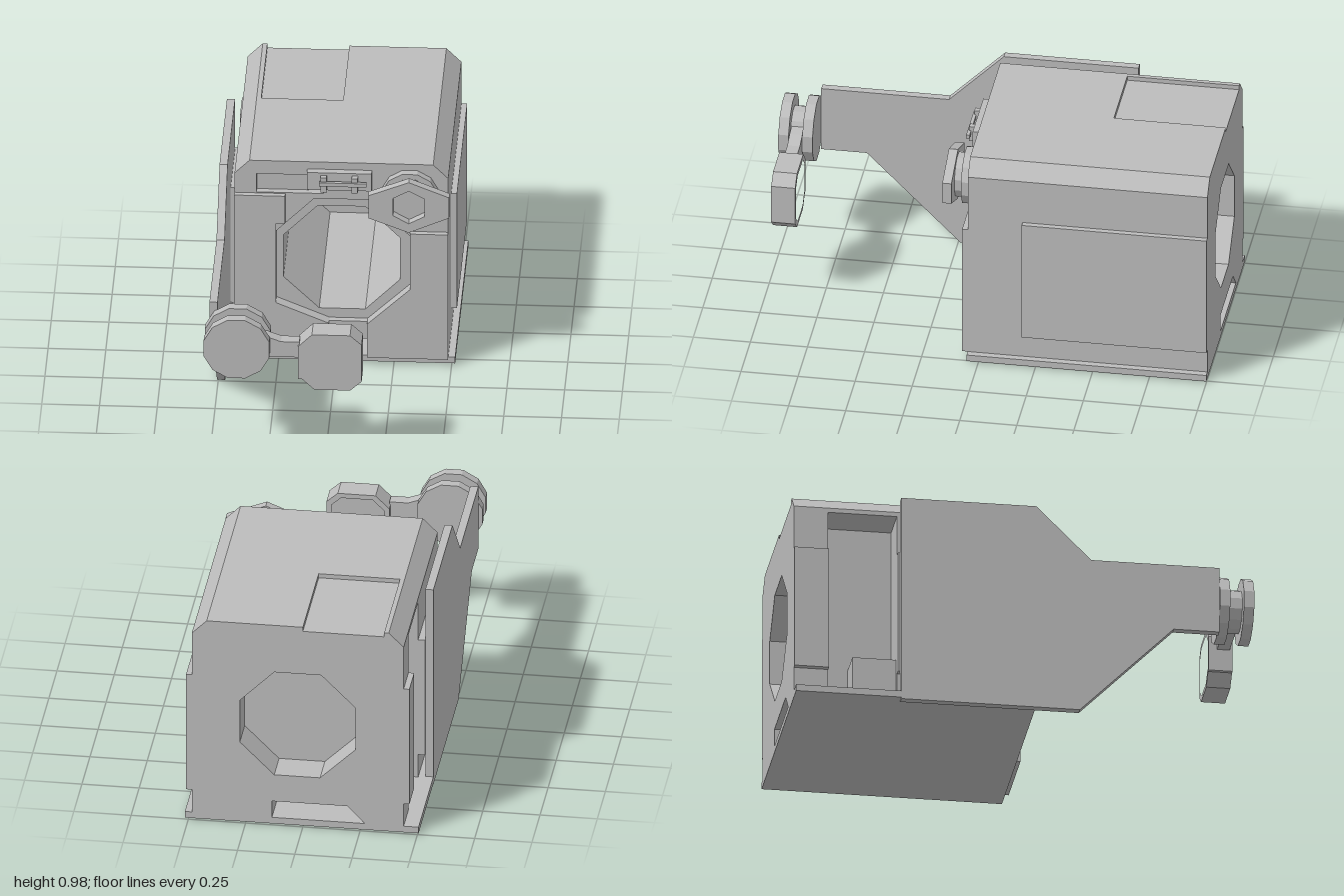
import * as THREE from 'three';

export function createModel() {
  const model = new THREE.Group();
  model.name = 'machineHousing';
  const grey = new THREE.MeshStandardMaterial({ color: 0xbcbcbc });
  grey.name = 'plain grey';

  const add = (name, geometry) => {
    const mesh = new THREE.Mesh(geometry, grey);
    mesh.name = name;
    model.add(mesh);
    return mesh;
  };
  const pts = (list) => list.map(([x, y]) => new THREE.Vector2(x, y));

  // Flat outline with holes, extruded from z0 to z1
  const slab = (name, outline, z0, z1, holes = []) => {
    const shape = new THREE.Shape(pts(outline));
    holes.forEach((h) => shape.holes.push(new THREE.Path(pts(h))));
    const g = new THREE.ExtrudeGeometry(shape, { depth: z1 - z0, bevelEnabled: false });
    return add(name, g.translate(0, 0, z0));
  };
  const box = (name, x0, x1, y0, y1, z0, z1) =>
    add(name, new THREE.BoxGeometry(x1 - x0, y1 - y0, z1 - z0)
      .translate((x0 + x1) / 2, (y0 + y1) / 2, (z0 + z1) / 2));

  // Faceted disc facing the front
  const disc = (name, x, y, r, sides, z0, z1) => {
    const outline = [];
    for (let i = 0; i < sides; i++) {
      const a = ((i + 0.5) / sides) * Math.PI * 2;
      outline.push([x + r * Math.cos(a), y + r * Math.sin(a)]);
    }
    return slab(name, outline, z0, z1);
  };

  const bore = [[-0.08, 0.755], [0.125, 0.755], [0.275, 0.605], [0.275, 0.4],
    [0.125, 0.25], [-0.075, 0.25], [-0.23, 0.4], [-0.23, 0.605]];
  const boreRim = [[-0.095, 0.805], [0.15, 0.805], [0.32, 0.63], [0.32, 0.38],
    [0.135, 0.205], [-0.03, 0.205], [-0.26, 0.3], [-0.26, 0.64]];
  const frontSlot = [[-0.345, 0.83], [-0.055, 0.83], [-0.055, 0.92], [-0.345, 0.92]];

  // Housing cross-section, optionally with the roof pocket and side opening
  const section = (pocket, opening) => [
    [0.135, 0.04], [0.485, 0.04], [0.485, 0.92], [0.42, 0.985],
    ...(pocket ? [[0, 0.985], [0, 0.965], [-0.355, 0.965], [-0.355, 0.985]] : []),
    [-0.375, 0.985], [-0.44, 0.92],
    ...(opening ? [[-0.44, 0.9], [-0.27, 0.9], [-0.27, 0.04]] : [[-0.44, 0.04], [-0.27, 0.04]]),
    [-0.195, 0.12], [0.135, 0.12],
  ];
  slab('housingFace', section(false, false), 0.02, 0.05, [boreRim, frontSlot]);
  slab('housingFront', section(false, false), -0.51, 0.02, [bore]);
  slab('housingRib', section(true, false), -0.55, -0.51, [bore]);
  slab('housingOpenBay', section(true, true), -0.85, -0.55, [bore]);
  slab('housingBack', section(true, false), -1, -0.85, [bore]);
  slab('boreBulkhead', bore, -0.85, -0.84);
  box('bayBlock', -0.41, -0.27, 0.04, 0.23, -0.74, -0.55);

  // Base and side panels
  box('basePlate', -0.505, 0.515, 0.01, 0.04, -1, 0.05);
  box('leftSidePanel', 0.485, 0.51, 0.15, 0.715, -1, -0.19);
  box('rightSidePanelBack', -0.465, -0.44, 0.15, 0.715, -1, -0.85);
  box('rightSidePanelFront', -0.47, -0.44, 0.15, 0.715, -0.55, -0.19);

  // Raised front plates beside the bore
  slab('frontPlateRight', [[-0.44, 0.12], [-0.03, 0.12], [-0.03, 0.205], [-0.26, 0.3],
    [-0.26, 0.69], [-0.22, 0.69], [-0.22, 0.825], [-0.44, 0.825]], 0.05, 0.075);
  slab('frontPlateLeft', [[0.135, 0.04], [0.485, 0.04], [0.485, 0.655], [0.32, 0.655],
    [0.32, 0.38], [0.135, 0.205]], 0.05, 0.075);

  // Latch with bar and two clips
  box('latchPlate', -0.125, 0.155, 0.865, 0.95, 0.05, 0.083);
  box('latchBar', -0.07, 0.135, 0.9, 0.918, 0.1, 0.115);
  for (const x of [-0.052, 0.083]) {
    box('latchClip', x - 0.013, x + 0.013, 0.866, 0.938, 0.083, 0.108);
  }

  // Knob with hexagonal socket
  disc('knobFlange', 0.32, 0.832, 0.127, 12, 0.05, 0.087);
  disc('knobNeck', 0.32, 0.832, 0.1, 12, 0.087, 0.12);
  slab('knobHead', [[0.145, 0.775], [0.32, 0.708], [0.495, 0.785], [0.495, 0.885],
    [0.32, 0.955], [0.145, 0.885]], 0.12, 0.16,
  [[[0.252, 0.79], [0.32, 0.752], [0.389, 0.79], [0.389, 0.875], [0.32, 0.912], [0.252, 0.875]]]);

  // Long side arm: profile drawn in (z, y), turned to lie along the side
  const arm = slab('sideArm', [[-0.54, 0.003], [0.24, 0.003], [0.65, 0.415], [0.85, 0.415],
    [0.85, 0.72], [0.29, 0.72], [0.05, 0.96], [-0.54, 0.96]], 0, 0.035);
  arm.geometry.rotateY(-Math.PI / 2).translate(-0.47, 0, 0);

  // Pivot wheels and hub
  for (const z of [0.85, 0.955]) disc('pivotWheel', -0.38, 0.573, 0.147, 12, z, z + 0.045);
  disc('pivotHub', -0.38, 0.573, 0.095, 12, 0.895, 0.955);

  // Link and hollow cap
  slab('link', [[-0.36, 0.515], [-0.11, 0.515], [-0.11, 0.59], [-0.19, 0.59],
    [-0.25, 0.612], [-0.36, 0.63]], 0.897, 0.952);
  const cap = [[-0.055, 0.635], [0.11, 0.635], [0.16, 0.59], [0.16, 0.41], [0.11, 0.365],
    [-0.045, 0.365], [-0.098, 0.415], [-0.115, 0.415], [-0.115, 0.575]];
  const inner = cap.map(([x, y]) => [0.0225 + (x - 0.0225) * 0.84, 0.5 + (y - 0.5) * 0.84]);
  slab('capWall', cap, 0.86, 0.945, [inner]);
  slab('capFace', cap, 0.945, 0.965);

  return model;
}
